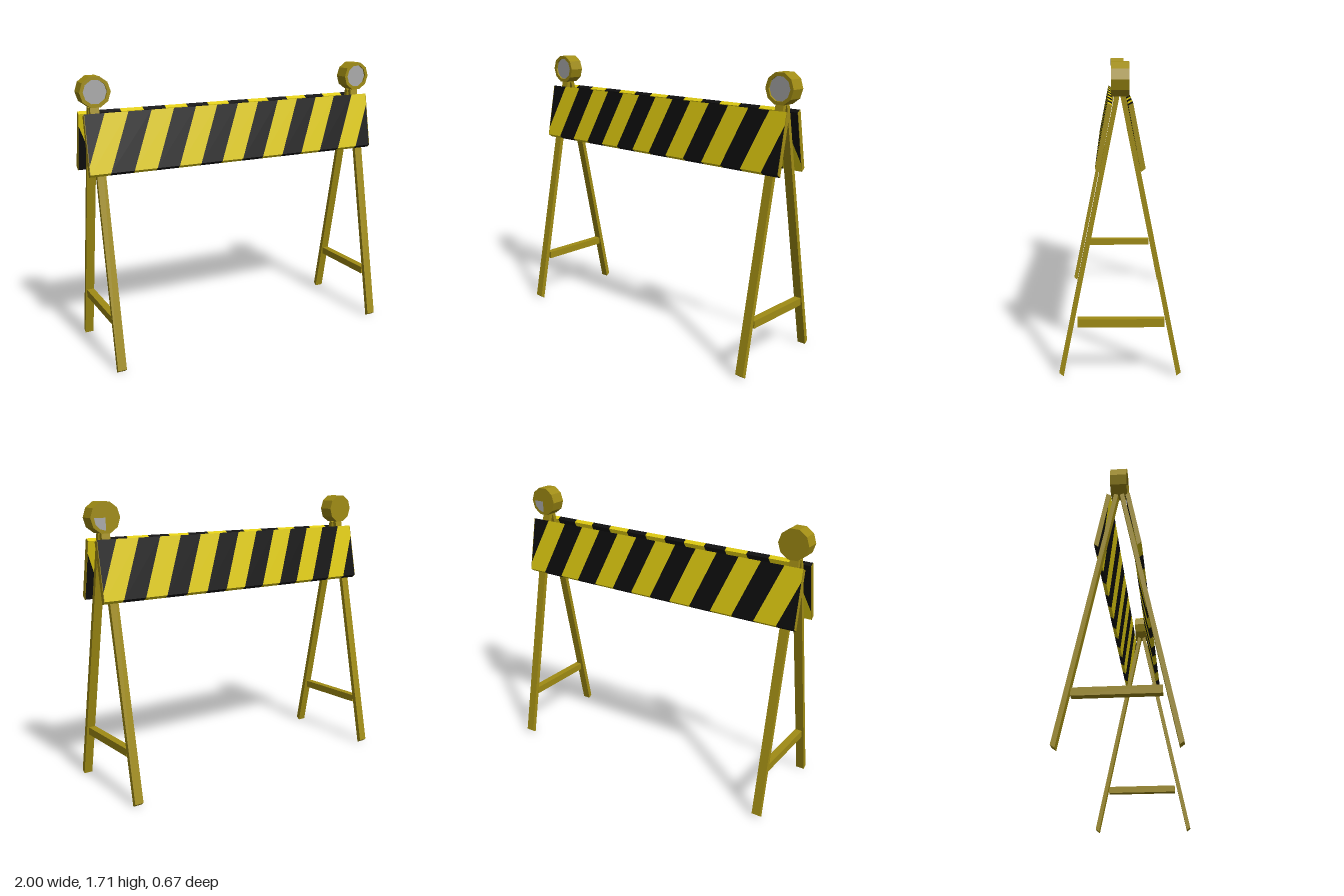
import * as THREE from 'three';

const paint = (name, color) => {
  const m = new THREE.MeshStandardMaterial({ color });
  m.name = name;
  return m;
};

// keep the part of a polygon where side * (x - limit) >= 0
function clip(poly, limit, side) {
  const out = [];
  poly.forEach((a, i) => {
    const b = poly[(i + 1) % poly.length];
    const da = side * (a[0] - limit), db = side * (b[0] - limit);
    if (da >= 0) out.push(a);
    if (da * db < 0) {
      const t = da / (da - db);
      out.push([limit, a[1] + (b[1] - a[1]) * t]);
    }
  });
  return out;
}

// polygon in (x, v) swept through a leaning slab; profile corners are [z, y]
function slab(name, poly, p, material) {
  const shape = new THREE.Shape(poly.map(([x, v]) => new THREE.Vector2(x, v)));
  const geo = new THREE.ExtrudeGeometry(shape, { depth: 1, bevelEnabled: false });
  const pos = geo.attributes.position;
  const mix = THREE.MathUtils.lerp;
  for (let i = 0; i < pos.count; i++) {
    const v = pos.getY(i), w = pos.getZ(i);
    const at = (k) => mix(mix(p.bottomIn[k], p.topIn[k], v), mix(p.bottomOut[k], p.topOut[k], v), w);
    pos.setXYZ(i, pos.getX(i), at(1), at(0));
  }
  geo.computeVertexNormals();
  const mesh = new THREE.Mesh(geo, material);
  mesh.name = name;
  return mesh;
}

const rect = (a, b) => [[a, 0], [b, 0], [b, 1], [a, 1]];

export function createModel() {
  const frame = paint('frame ochre', 0xa08c14);
  const yellow = paint('stripe yellow', 0xdeca10);
  const black = paint('stripe black', 0x0e0e0e);
  const grey = paint('lens grey', 0xaaaaaa);
  const model = new THREE.Group();
  model.name = 'barricade';

  const legProfile = { topIn: [0.005, 1.528], topOut: [0.028, 1.54], bottomIn: [0.311, 0], bottomOut: [0.335, 0.018] };
  const boardProfile = { topIn: [0.042, 1.49], topOut: [0.066, 1.504], bottomIn: [0.108, 1.146], bottomOut: [0.132, 1.164] };
  const x0 = -0.986, x1 = 0.976, cap = 0.003;
  const width = 0.1435, lean = 0.141, firstBlack = -1.006;

  // one leaning side: two legs and a striped board; the other is turned half round
  function side(name) {
    const g = new THREE.Group();
    g.name = name;
    for (const x of [-0.91, 0.901]) g.add(slab('leg', rect(x - 0.027, x + 0.027), legProfile, frame));
    for (let k = 0; k < 16; k++) {
      const a = firstBlack + k * width, b = a + width;
      let poly = [[a - lean, 0], [b - lean, 0], [b, 1], [a, 1]];
      poly = clip(clip(poly, x0 + cap, 1), x1 - cap, -1);
      if (poly.length > 2) g.add(slab('boardStripe', poly, boardProfile, k % 2 ? yellow : black));
    }
    g.add(slab('boardEnd', rect(x0, x0 + cap), boardProfile, frame));
    g.add(slab('boardEnd', rect(x1 - cap, x1), boardProfile, frame));
    return g;
  }
  const back = side('backSide');
  back.rotation.y = Math.PI;
  back.position.x = x0 + x1;
  model.add(side('frontSide'), back);

  // cross braces between the legs
  for (const x of [-0.91, 0.901]) {
    const brace = new THREE.Mesh(new THREE.BoxGeometry(0.045, 0.046, 0.475), frame);
    brace.name = 'crossBrace';
    brace.position.set(x, 0.303, -0.005);
    model.add(brace);
  }

  // ten-sided warning lamps with a sunken lens
  const profile = [[0, -0.047], [0.093, -0.047], [0.093, 0.047], [0.072, 0.047], [0.072, 0.035]]
    .map(([r, y]) => new THREE.Vector2(r, y));
  const housingGeo = new THREE.LatheGeometry(profile, 10, Math.PI / 2).toNonIndexed();
  housingGeo.rotateX(Math.PI / 2);
  housingGeo.computeVertexNormals();
  for (const s of [-1, 1]) {
    const lamp = new THREE.Group();
    lamp.name = s > 0 ? 'leftLamp' : 'rightLamp';
    lamp.position.set(s * 0.907, 1.623, 0);
    const housing = new THREE.Mesh(housingGeo, frame);
    housing.name = 'lampHousing';
    const lens = new THREE.Mesh(new THREE.CircleGeometry(0.072, 10), grey);
    lens.name = 'lens';
    lens.position.z = 0.036;
    lamp.add(housing, lens);
    if (s > 0) {
      // small rear reflector on the left lamp
      const rear = new THREE.Mesh(new THREE.CircleGeometry(0.072, 3, Math.PI, Math.PI / 2), grey);
      rear.name = 'rearReflector';
      rear.rotation.y = Math.PI;
      rear.position.z = -0.049;
      lamp.add(rear);
    }
    model.add(lamp);
  }
  return model;
}
